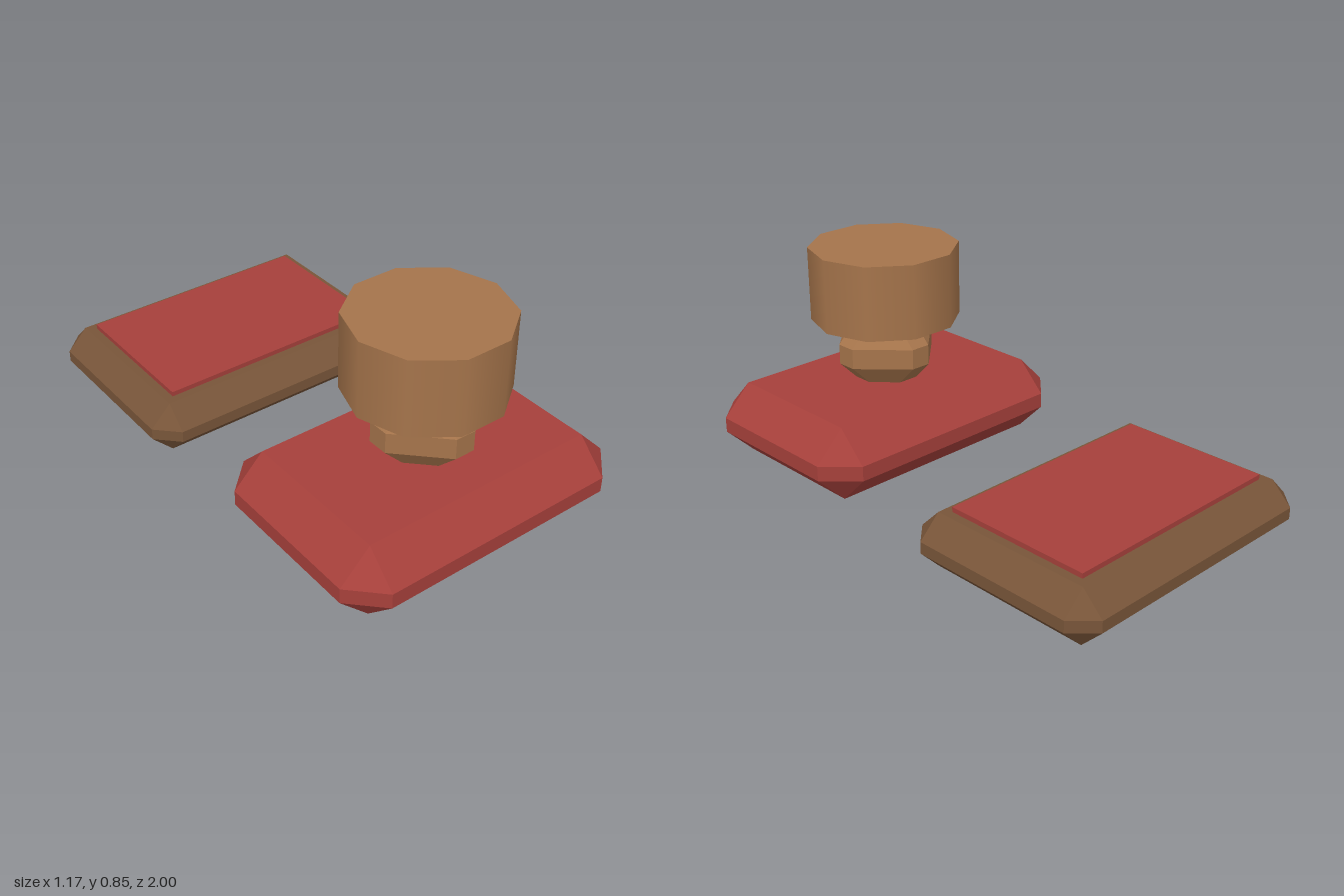
import * as THREE from 'three';
import { ConvexGeometry } from 'three/addons/geometries/ConvexGeometry.js';

const mat = (name, color) => {
  const m = new THREE.MeshStandardMaterial({ color });
  m.name = name;
  return m;
};

// Box with every edge bevelled at 45 degrees by c
function bevelBox(w, h, d, c) {
  const points = [];
  for (const sx of [-1, 1]) for (const sy of [-1, 1]) for (const sz of [-1, 1]) {
    const x = w / 2, y = h / 2, z = d / 2;
    points.push(
      new THREE.Vector3(sx * x, sy * (y - c), sz * (z - c)),
      new THREE.Vector3(sx * (x - c), sy * y, sz * (z - c)),
      new THREE.Vector3(sx * (x - c), sy * (y - c), sz * z)
    );
  }
  return new ConvexGeometry(points);
}

export function createModel() {
  const red = mat('red', 0xa6403b);
  const darkWood = mat('dark wood', 0x785539);
  const lightWood = mat('light wood', 0xa5744b);
  const model = new THREE.Group();
  model.name = 'stampAndPad';

  const add = (parent, name, geometry, material, y, z) => {
    const mesh = new THREE.Mesh(geometry, material);
    mesh.name = name;
    mesh.position.set(0, y, z);
    parent.add(mesh);
  };

  // Stamp: bevelled block, faceted neck and ten-sided knob
  const stamp = new THREE.Group();
  stamp.name = 'stamp';
  add(stamp, 'stampBlock', bevelBox(1.172, 0.293, 0.82, 0.117), red, 0.177, 0.59);
  add(stamp, 'neck', bevelBox(0.41, 0.41, 0.41, 0.165), lightWood, 0.442, 0.59);
  const knob = new THREE.CylinderGeometry(0.293, 0.293, 0.293, 10);
  knob.rotateY(Math.PI / 10);
  add(stamp, 'knob', knob, lightWood, 0.708, 0.588);

  // Ink pad: bevelled tray with a thin raised pad
  const inkPad = new THREE.Group();
  inkPad.name = 'inkPad';
  add(inkPad, 'tray', bevelBox(1.172, 0.211, 0.82, 0.083), darkWood, 0.1055, -0.59);
  add(inkPad, 'pad', new THREE.BoxGeometry(0.938, 0.03, 0.588), red, 0.215, -0.59);

  model.add(stamp, inkPad);
  return model;
}
